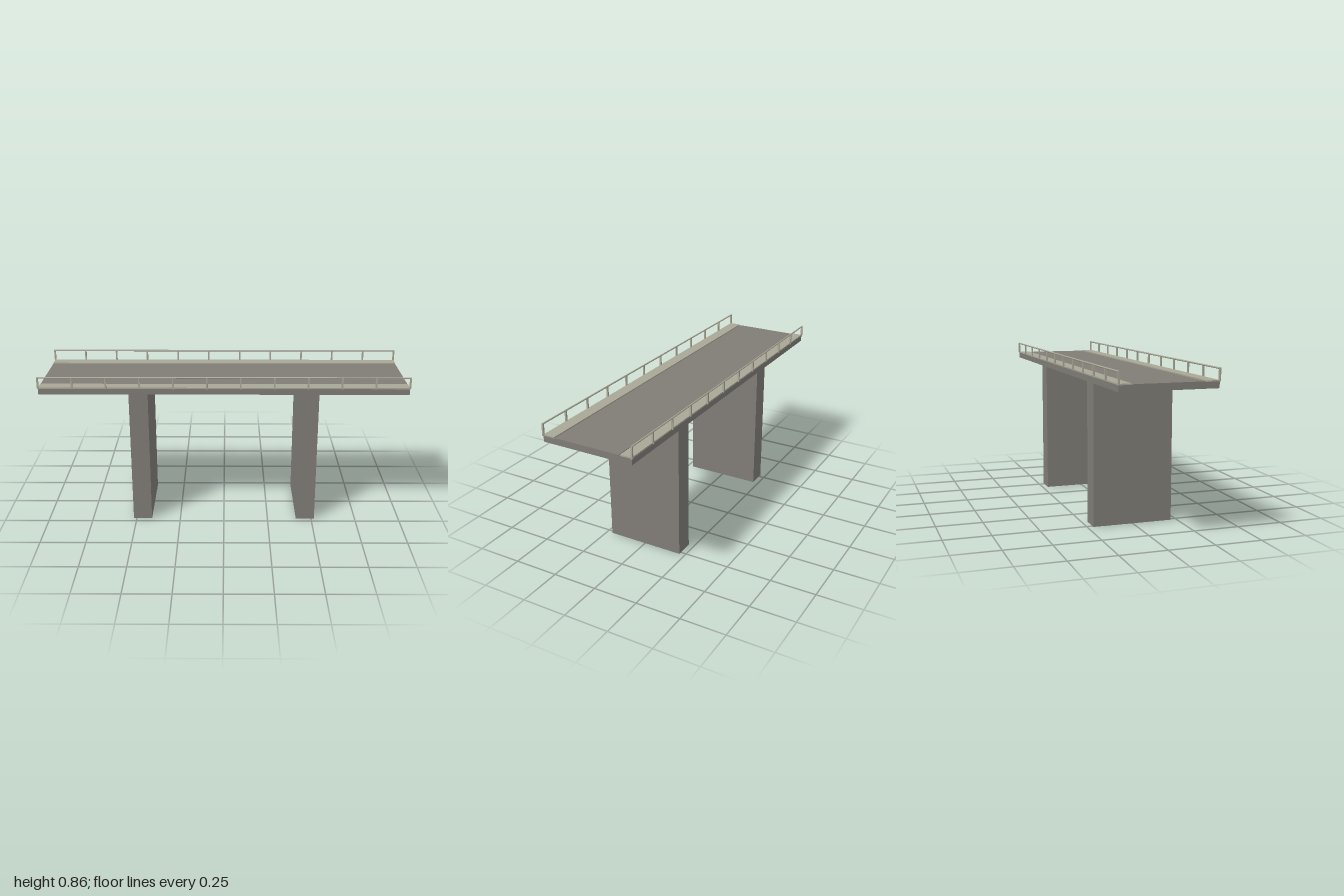
import * as THREE from 'three';

const concrete = new THREE.MeshStandardMaterial({ color: 0x807d77 });
concrete.name = 'grey concrete';
const paving = new THREE.MeshStandardMaterial({ color: 0xa9a797 });
paving.name = 'pale paving';

// Box given by its lower and upper y and its centre in x and z
function box(name, material, [w, d], [y0, y1], [x, z]) {
  const mesh = new THREE.Mesh(new THREE.BoxGeometry(w, y1 - y0, d), material);
  mesh.position.set(x, (y0 + y1) / 2, z);
  mesh.name = name;
  return mesh;
}

export function createModel() {
  const bridge = new THREE.Group();
  bridge.name = 'bridge';
  const length = 1.992, deckTop = 0.798, railTop = 0.865, t = 0.009;

  // Deck slab and the slightly raised roadway
  bridge.add(box('deck', concrete, [length, 0.505], [0.766, deckTop], [0, 0]));
  bridge.add(box('roadway', concrete, [length, 0.36], [deckTop, 0.801], [0, 0]));

  // Two wall piers
  for (const x of [-0.465, 0.465]) {
    bridge.add(box('pier', concrete, [0.104, 0.436], [0, 0.766], [x, 0]));
  }

  // Pavement and railing on both sides
  for (const side of [-1, 1]) {
    bridge.add(box('pavement', paving, [length, 0.064], [deckTop, 0.805], [0, side * 0.22]));

    const railing = new THREE.Group();
    railing.name = side > 0 ? 'frontRailing' : 'backRailing';
    const z = side * 0.2525;
    const spans = 11, end = 1 - t / 2;
    for (let i = 0; i <= spans; i++) {
      const x = -end + (2 * end * i) / spans;
      railing.add(box('post', paving, [t, t], [deckTop, railTop - t / 2], [x, z]));
    }
    const rail = new THREE.Mesh(new THREE.CylinderGeometry(t / 2, t / 2, 2, 10), paving);
    rail.rotation.z = Math.PI / 2;
    rail.position.set(0, railTop - t / 2, z);
    rail.name = 'handrail';
    railing.add(rail);
    bridge.add(railing);
  }
  return bridge;
}
